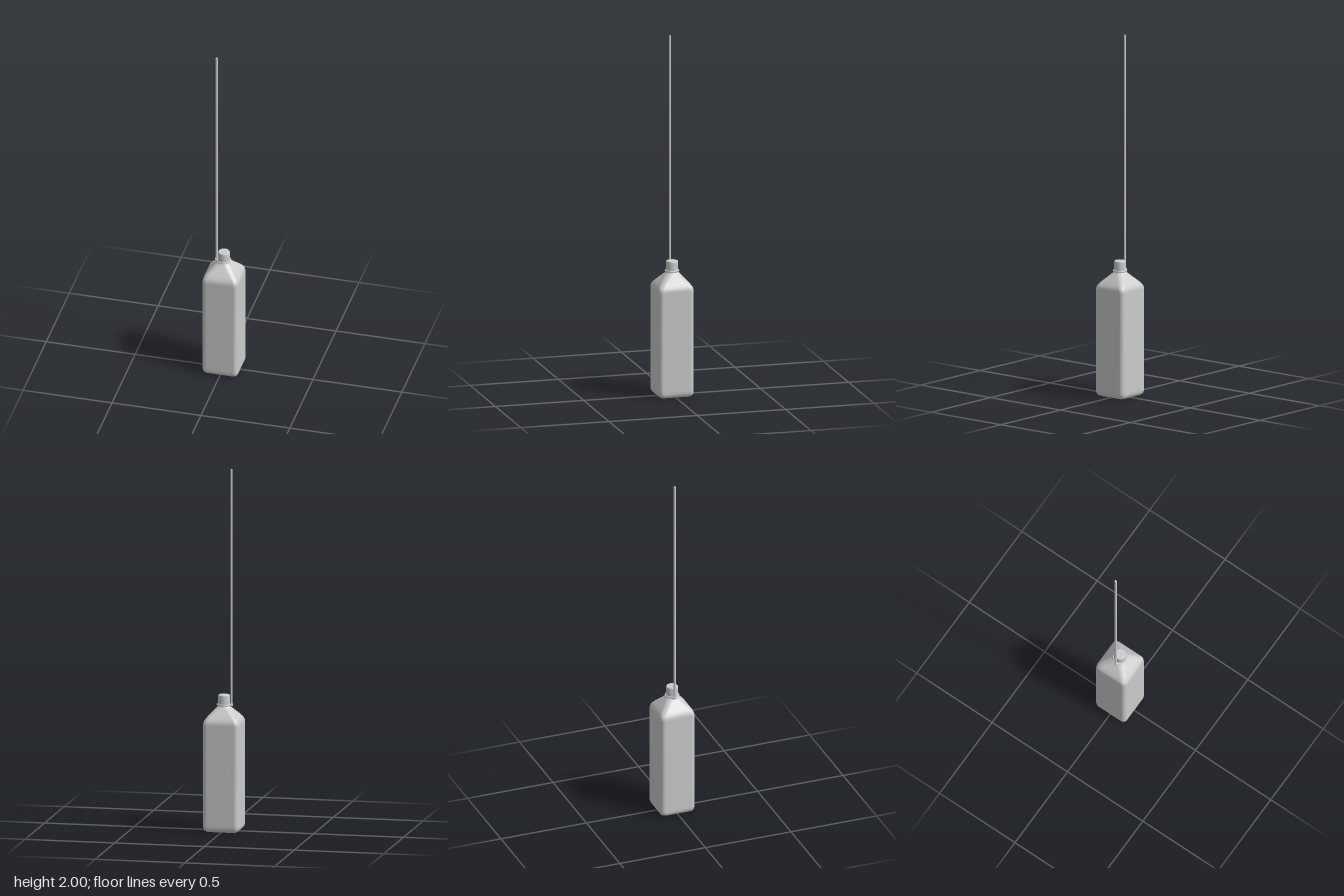
import * as THREE from 'three';

const grey = new THREE.MeshStandardMaterial({ color: 0xcccccc });

function add(group, name, geometry, x = 0, y = 0, z = 0) {
  const mesh = new THREE.Mesh(geometry, grey);
  mesh.name = name;
  mesh.position.set(x, y, z);
  group.add(mesh);
  return mesh;
}

// Rounded-square outline: half width h, corner radius r, at height y
function ring(y, h, r, steps = 8) {
  const points = [];
  for (let c = 0; c < 4; c++) {
    const mid = (c + 0.5) * Math.PI / 2;
    const cx = Math.sign(Math.cos(mid)) * (h - r);
    const cz = Math.sign(Math.sin(mid)) * (h - r);
    for (let i = 0; i <= steps; i++) {
      const a = (c + i / steps) * Math.PI / 2;
      points.push(cx + r * Math.cos(a), y, cz + r * Math.sin(a));
    }
  }
  return points;
}

// Skin over [y, half width, corner radius] sections, listed bottom to top
function loft(sections) {
  const rings = sections.map(([y, h, r]) => ring(y, h, r));
  const n = rings[0].length / 3;
  const index = [];
  for (let s = 0; s < rings.length - 1; s++) {
    for (let i = 0; i < n; i++) {
      const a = s * n + i, b = s * n + (i + 1) % n;
      index.push(a, a + n, b, b, a + n, b + n);
    }
  }
  const geometry = new THREE.BufferGeometry();
  geometry.setAttribute('position', new THREE.Float32BufferAttribute(rings.flat(), 3));
  geometry.setIndex(index);
  geometry.computeVertexNormals();
  return geometry;
}

const lathe = (points) =>
  new THREE.LatheGeometry(points.map(([x, y]) => new THREE.Vector2(x, y)), 40);

export function createModel() {
  const group = new THREE.Group();

  // Square bottle with a dished base, rounded foot and tapering shoulder
  add(group, 'bottleBody', loft([
    [0.01, 0.001, 0.0005], [0.01, 0.05, 0.015], [0.007, 0.06, 0.018],
    [0.001, 0.067, 0.019], [0, 0.074, 0.02], [0.002, 0.084, 0.021],
    [0.008, 0.093, 0.023], [0.017, 0.098, 0.024], [0.028, 0.1, 0.025],
    [0.04, 0.1, 0.025], [0.59, 0.1, 0.025], [0.604, 0.099, 0.025],
    [0.616, 0.095, 0.025], [0.628, 0.087, 0.026], [0.64, 0.077, 0.027],
    [0.665, 0.054, 0.03], [0.68, 0.041, 0.032], [0.686, 0.036, 0.033],
    [0.692, 0.034, 0.034], [0.705, 0.033, 0.033],
  ]));

  // Screw cap, slightly narrower at the top
  add(group, 'cap', lathe([
    [0.0, 0.702], [0.033, 0.702], [0.0335, 0.703], [0.0325, 0.745],
    [0.0315, 0.749], [0.029, 0.751], [0.028, 0.751], [0, 0.751],
  ]));

  // Band around the neck
  const band = new THREE.TorusGeometry(0.0355, 0.0045, 10, 48);
  band.rotateX(Math.PI / 2);
  add(group, 'neckBand', band, 0, 0.696, 0);

  // Small chamfered clasp joining band and rod
  const outline = new THREE.Shape([
    [-0.033, -0.016], [-0.043, -0.015], [-0.05, -0.007],
    [-0.05, 0.007], [-0.043, 0.015], [-0.033, 0.016],
  ].map(([x, z]) => new THREE.Vector2(x, z)));
  const clasp = new THREE.ExtrudeGeometry(outline, { depth: 0.01, bevelEnabled: false });
  clasp.rotateX(-Math.PI / 2);
  add(group, 'clasp', clasp, 0, 0.691, 0);

  // Long thin upright rod
  add(group, 'rod', new THREE.CylinderGeometry(0.006, 0.006, 1.309, 16), -0.041, 1.3455, 0);

  return group;
}
